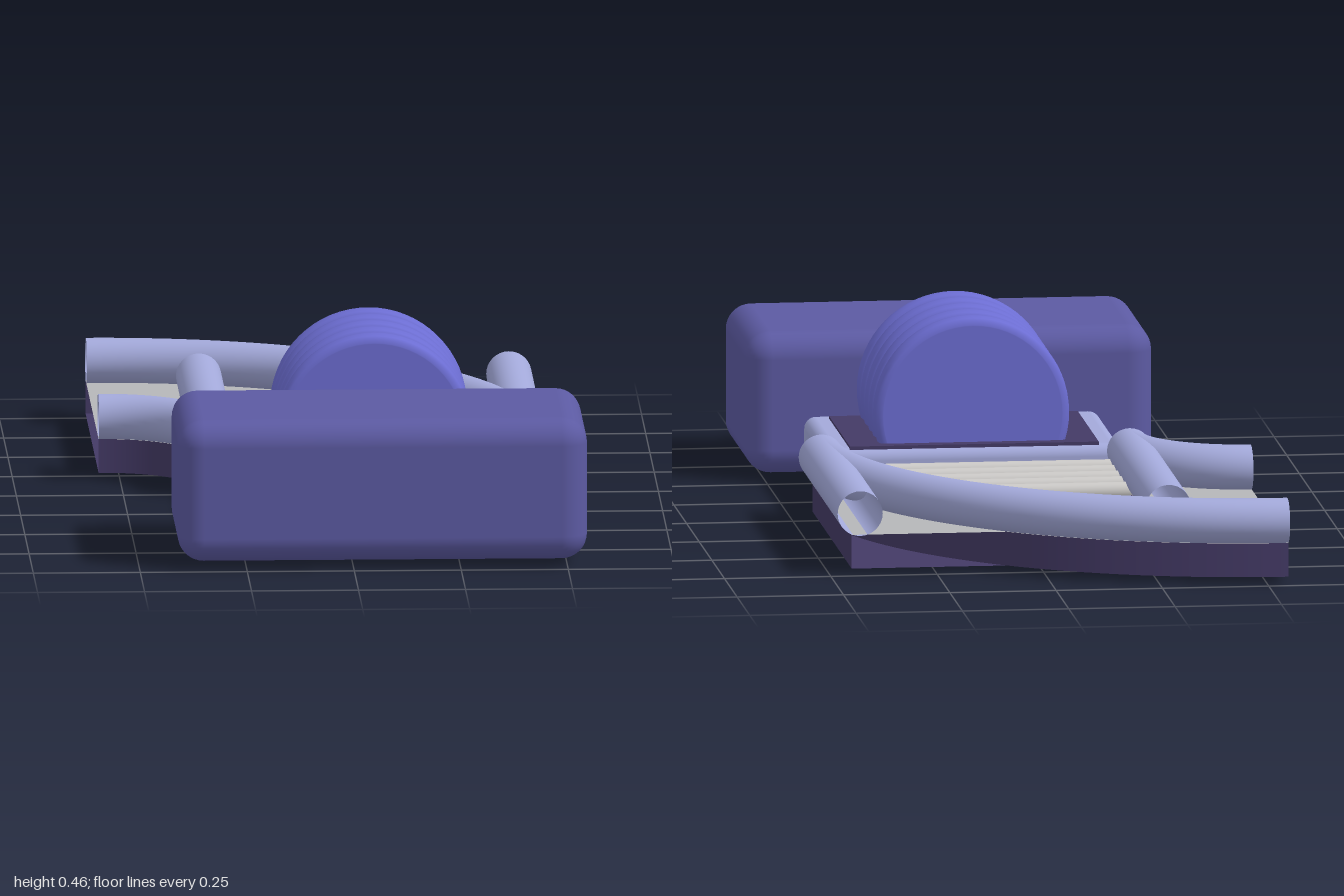
import * as THREE from 'three';
import { RoundedBoxGeometry } from 'three/addons/geometries/RoundedBoxGeometry.js';

export function createModel() {
  const model = new THREE.Group();
  const mat = (name, color, side = THREE.FrontSide) => {
    const m = new THREE.MeshStandardMaterial({ color, side });
    m.name = name;
    return m;
  };
  const indigo = mat('indigo', 0x5c5aa2);
  const violet = mat('violet', 0x6c6dd2);
  const lavender = mat('lavender', 0xa3a9da, THREE.DoubleSide);
  const plum = mat('dark plum', 0x443a66, THREE.DoubleSide);
  const grey = mat('grey', 0xb6b7b9, THREE.DoubleSide);
  const pale = mat('pale grey', 0xcac8c6);

  const add = (name, geo, material, x = 0, y = 0, z = 0) => {
    const m = new THREE.Mesh(geo, material);
    m.name = name;
    m.position.set(x, y, z);
    model.add(m);
    return m;
  };

  // Large front block
  add('frontBlock', new RoundedBoxGeometry(0.956, 0.335, 0.485, 5, 0.06), indigo, 0.068, 0.188, 0.757);

  // Tray with dark inset on top
  add('tray', new RoundedBoxGeometry(0.696, 0.145, 0.475, 4, 0.028), lavender, 0.068, 0.092, 0.274);
  add('trayInset', new THREE.BoxGeometry(0.585, 0.008, 0.415), plum, 0.068, 0.166, 0.253);

  // Five fins: discs with a rounded rim
  const R = 0.23, h = 0.034, b = 0.018;
  const profile = [new THREE.Vector2(0, -h), new THREE.Vector2(R - b - 0.002, -h)];
  for (let i = 0; i <= 6; i++) {
    const a = -Math.PI / 2 + (i / 6) * Math.PI;
    profile.push(new THREE.Vector2(R - b + b * Math.cos(a), Math.sign(Math.round(i - 3)) * (h - b) + b * Math.sin(a)));
  }
  profile.push(new THREE.Vector2(R - b - 0.002, h), new THREE.Vector2(0, h));
  const finGeo = new THREE.LatheGeometry(profile, 64).rotateX(Math.PI / 2);
  for (let i = 0; i < 5; i++) add('fin', finGeo, violet, 0.068, 0.234, 0.11 + i * 0.0805);

  // Track layout: a straight and a quarter turn sharing one end
  const cx = -0.55, z0 = 0.03, length = 0.772;
  const railR = [0.255, 0.98], wallR = [0.235, 1.0];
  const top = 0.1, bottom = 0.02, zMid = z0 - length / 2;

  // Rails: open tubes
  class Arc extends THREE.Curve {
    constructor(r) { super(); this.r = r; }
    getPoint(t, out = new THREE.Vector3()) {
      const a = t * Math.PI / 2;
      return out.set(cx + this.r * Math.cos(a), 0.15, z0 - this.r * Math.sin(a));
    }
  }
  for (const r of railR) {
    const straight = new THREE.CylinderGeometry(0.053, 0.053, length, 32, 1, true).rotateX(Math.PI / 2);
    add('straightRail', straight, lavender, cx + r, 0.15, zMid);
    add('curvedRail', new THREE.TubeGeometry(new Arc(r), 48, 0.053, 32), lavender);
  }

  // Side walls under the rails
  for (const r of wallR) {
    add('straightWall', new THREE.PlaneGeometry(length, top - bottom).rotateY(Math.PI / 2),
      plum, cx + r, (top + bottom) / 2, zMid);
    add('curvedWall', new THREE.CylinderGeometry(r, r, top - bottom, 48, 1, true, Math.PI / 2, Math.PI / 2),
      plum, cx, (top + bottom) / 2, z0);
  }

  // Deck and underside of both branches
  const width = wallR[1] - wallR[0], xMid = cx + (wallR[0] + wallR[1]) / 2;
  for (const [name, y, material, tilt] of [['deck', top, grey, -1], ['underside', bottom, plum, 1]]) {
    add(name + 'Straight', new THREE.PlaneGeometry(width, length).rotateX(tilt * Math.PI / 2), material, xMid, y, zMid);
    const start = tilt < 0 ? 0 : -Math.PI / 2;
    const ring = new THREE.RingGeometry(wallR[0], wallR[1], 48, 1, start, Math.PI / 2);
    add(name + 'Curve', ring.rotateX(tilt * Math.PI / 2), material, cx, y, z0);
  }

  // Dark bed with pale rollers
  add('rollerBed', new THREE.BoxGeometry(0.65, 0.008, 0.42), plum, 0.068, 0.106, -0.18);
  const rollerGeo = new THREE.CylinderGeometry(0.021, 0.021, 0.65, 20).rotateZ(Math.PI / 2);
  for (let i = 0; i < 5; i++) add('roller', rollerGeo, pale, 0.068, 0.118, -0.325 + i * 0.0765);

  return model;
}
